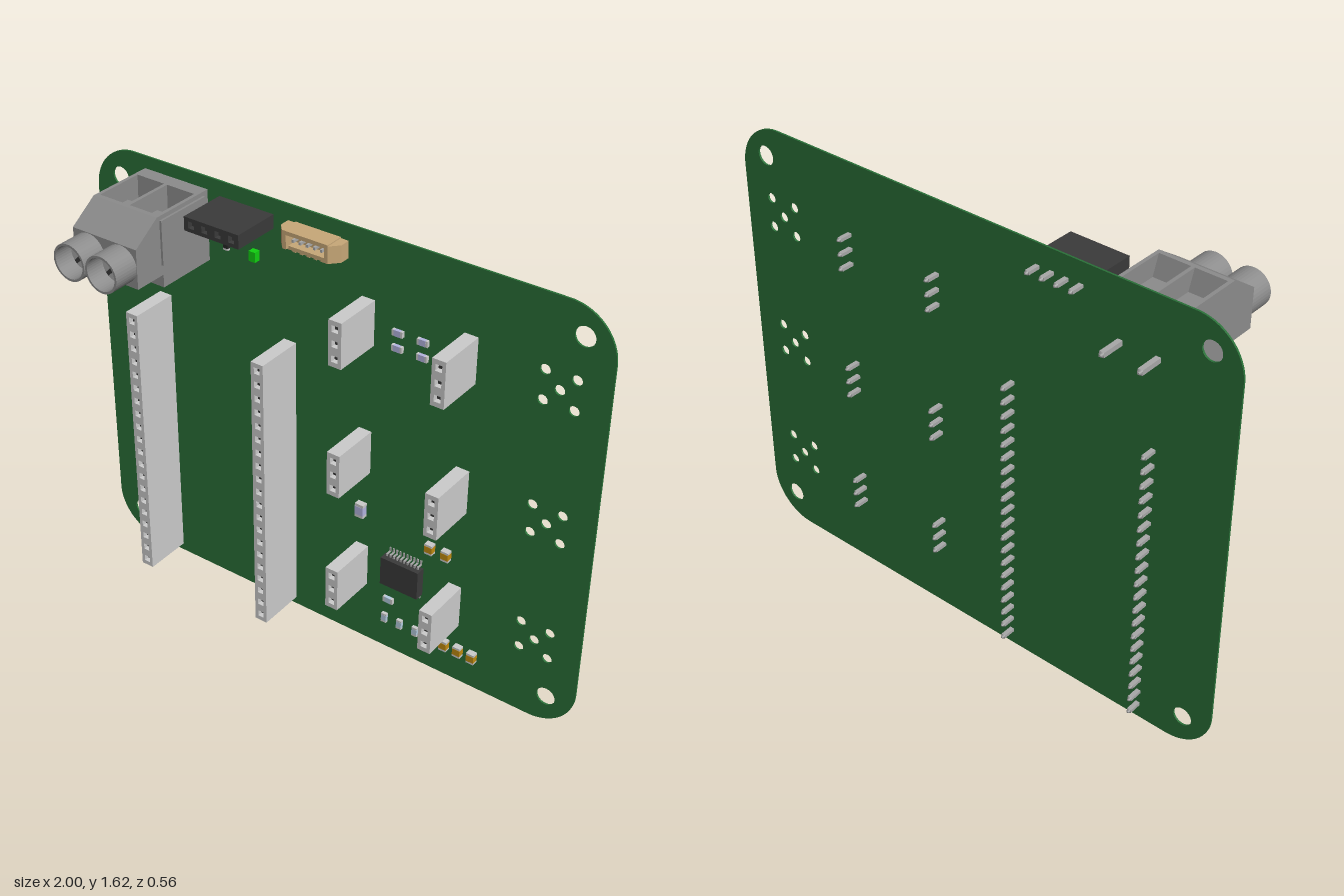
import * as THREE from 'three';

const FACE = -0.178;   // front surface of the board
const BACK = -0.185;   // rear surface of the board
const PITCH = 0.0543;  // pin spacing of the headers
const FRONT = 0.004;   // front of the sockets

const paint = (color) => new THREE.MeshStandardMaterial({ color });
const mats = {
  board: paint(0x2a7038), grey: paint(0xcccccc), housing: paint(0x8c8c8c), dark: paint(0x3a3a3a),
  black: paint(0x262626), tan: paint(0xc8a878), gold: paint(0xc08a10), lilac: paint(0xb4b4e0),
  pale: paint(0xb4cce0), green: paint(0x10d010), metal: paint(0xa8a8a8),
};

function add(parent, name, geometry, mat) {
  const mesh = new THREE.Mesh(geometry, mats[mat]);
  mesh.name = name;
  parent.add(mesh);
  return mesh;
}

// Box given by its limits along each axis
function box(parent, name, mat, x0, x1, y0, y1, z0, z1) {
  const g = new THREE.BoxGeometry(x1 - x0, y1 - y0, z1 - z0);
  g.translate((x0 + x1) / 2, (y0 + y1) / 2, (z0 + z1) / 2);
  return add(parent, name, g, mat);
}

function group(parent, name) {
  const g = new THREE.Group();
  g.name = name;
  parent.add(g);
  return g;
}

const polygon = (pts) => new THREE.Shape(pts.map(([x, y]) => new THREE.Vector2(x, y)));
const rect = (x0, x1, y0, y1) => polygon([[x0, y0], [x1, y0], [x1, y1], [x0, y1]]);
const circle = (x, y, r) => new THREE.Path().absarc(x, y, r, 0, Math.PI * 2, true);

function extrude(shape, depth, curveSegments = 12) {
  return new THREE.ExtrudeGeometry(shape, { depth, bevelEnabled: false, curveSegments });
}

// Rounded board with mounting holes and three five-hole clusters
function buildBoard(root) {
  const r = 0.17, h = 1.62, s = new THREE.Shape();
  s.absarc(1 - r, r, r, -Math.PI / 2, 0);
  s.absarc(1 - r, h - r, r, 0, Math.PI / 2);
  s.absarc(-1 + r, h - r, r, Math.PI / 2, Math.PI);
  s.absarc(-1 + r, r, r, Math.PI, Math.PI * 1.5);
  s.closePath();
  for (const x of [-0.892, 0.892]) for (const y of [0.111, 1.514]) s.holes.push(circle(x, y, 0.035));
  for (const y of [0.328, 0.807, 1.306]) {
    s.holes.push(circle(0.828, y, 0.018));
    for (const dx of [-0.054, 0.054]) for (const dy of [-0.054, 0.054])
      s.holes.push(circle(0.828 + dx, y + dy, 0.018));
  }
  const g = extrude(s, FACE - BACK);
  g.translate(0, 0, BACK);
  add(root, 'circuitBoard', g, 'board');
}

// Socket strip with square openings in front and pins through the board
function buildHeader(root, name, x, y, count, horizontal, mat) {
  const strip = group(root, name);
  const half = 0.025, len = count * PITCH / 2 + 0.002, o = 0.012, split = -0.07;
  const [w, h] = horizontal ? [len, half] : [half, len];
  const s = rect(-w, w, -h, h);
  const pinAt = (i) => (i - (count - 1) / 2) * PITCH;
  for (let i = 0; i < count; i++) {
    const [px, py] = horizontal ? [pinAt(i), 0] : [0, pinAt(i)];
    s.holes.push(rect(px - o, px + o, py - o, py + o));
    box(strip, 'pin', 'metal', px - 0.008, px + 0.008, py - 0.006, py + 0.006, -0.232, BACK);
    const tip = new THREE.CylinderGeometry(0.004, 0.0095, 0.01, 4, 1).rotateY(Math.PI / 4).rotateX(-Math.PI / 2);
    add(strip, 'pinTip', tip, 'metal').position.set(px, py, -0.237);
    box(strip, 'contact', 'dark', px - o, px + o, py - o, py + o, split, split + 0.055);
  }
  const g = extrude(s, FRONT - split);
  g.translate(0, 0, split);
  add(strip, 'socketFront', g, mat);
  box(strip, 'socketBase', mat, -w, w, -h, h, FACE, split);
  strip.position.set(x, y, 0);
}

// Two-way screw terminal, built as slices of a side profile
function buildTerminal(root) {
  const t = group(root, 'screwTerminal');
  const x0 = -0.781, x1 = -0.512, wall = 0.013, mid = (x0 + x1) / 2;
  const lower = [[0.183, 1.504], [0.183, 1.362], [0.058, 1.362], [0.058, 1.315], [FACE, 1.315], [FACE, 1.575]];
  const full = [[0.076, 1.575], ...lower];
  const pocketed = [[0.076, 1.575], ...lower, [-0.125, 1.575], [-0.12, 1.44], [-0.07, 1.44],
    [-0.07, 1.505], [0.035, 1.505], [0.06, 1.575]];
  const slice = (name, profile, a, b) => {
    const g = extrude(polygon(profile.map(([z, y]) => [-z, y])), b - a);
    g.rotateY(Math.PI / 2).translate(a, 0, 0);
    add(t, name, g, 'housing');
  };
  slice('sideWall', full, x0, x0 + wall);
  slice('pocketBody', pocketed, x0 + wall, mid - wall / 2);
  slice('middleWall', full, mid - wall / 2, mid + wall / 2);
  slice('pocketBody', pocketed, mid + wall / 2, x1 - wall);
  slice('sideWall', full, x1 - wall, x1);
  box(t, 'sideRib', 'housing', x1, x1 + 0.008, 1.40, 1.56, -0.155, 0.065);

  for (const x of [-0.715, -0.579]) {
    // Hollow screw guide with a slotted screw inside
    const ring = new THREE.Shape().absarc(x, 1.436, 0.066, 0, Math.PI * 2);
    ring.holes.push(circle(x, 1.436, 0.058));
    add(t, 'screwGuide', extrude(ring, 0.097, 20).translate(0, 0, 0.183), 'housing');
    const head = new THREE.CylinderGeometry(0.055, 0.055, 0.03, 32).rotateX(Math.PI / 2);
    add(t, 'screwHead', head, 'metal').position.set(x, 1.436, 0.195);
    const slot = add(t, 'screwSlot', new THREE.BoxGeometry(0.104, 0.014, 0.002), 'dark');
    slot.position.set(x, 1.436, 0.211);
    slot.rotation.z = Math.PI / 4;
    box(t, 'solderPin', 'metal', x - 0.009, x + 0.009, 1.401, 1.419, -0.27, BACK);
    const tip = new THREE.CylinderGeometry(0.005, 0.0127, 0.01, 4).rotateY(Math.PI / 4).rotateX(-Math.PI / 2);
    add(t, 'solderPinTip', tip, 'metal').position.set(x, 1.41, -0.275);
  }
}

// Small shrouded cable connector with a chamfered front
function buildConnector(root) {
  const c = group(root, 'cableConnector');
  const plate = (name, outline, y0, y1) => {
    const g = extrude(polygon(outline.map(([x, z]) => [x, -z])), y1 - y0);
    add(c, name, g.rotateX(-Math.PI / 2).translate(0, y0, 0), 'tan');
  };
  const outer = [[-0.118, FACE], [-0.118, -0.145], [-0.09, -0.107], [0.09, -0.107], [0.09, -0.145], [0.118, FACE]];
  outer[4] = [0.118, -0.145];
  outer[3] = [0.09, -0.107];
  plate('topWall', [[-0.088, FACE], [-0.088, -0.107], [0.088, -0.107], [0.088, FACE]], 1.553, 1.567);
  plate('bottomWall', [[-0.088, FACE], [-0.088, -0.12], [0.088, -0.12], [0.088, FACE]], 1.497, 1.51);
  box(c, 'rearWall', 'tan', -0.088, 0.088, 1.51, 1.553, FACE, -0.155);
  for (const s of [-1, 1]) {
    const end = [[s * 0.074, FACE], [s * 0.118, FACE], [s * 0.118, -0.14], [s * 0.088, -0.107], [s * 0.074, -0.107]];
    plate('endWall', end, 1.502, 1.563);
  }
  for (let i = -2; i <= 2; i++) {
    const x = i * 0.0275;
    box(c, 'contactPin', 'metal', x - 0.004, x + 0.004, 1.527, 1.537, -0.155, -0.118);
    box(c, 'solderTail', 'metal', x - 0.004, x + 0.004, 1.468, 1.5, FACE, -0.17);
    box(c, 'frontRib', 'tan', x - 0.006, x + 0.006, 1.49, 1.5, -0.17, -0.125);
  }
  c.position.x = -0.064;
}

// Chip with ten leads along the top and bottom
function buildChip(root) {
  const chip = group(root, 'chip');
  box(chip, 'chipBody', 'dark', 0.24, 0.392, 0.312, 0.425, -0.172, -0.136);
  for (let i = 0; i < 10; i++) {
    const x = 0.316 + (i - 4.5) * 0.014;
    for (const s of [-1, 1]) {
      const y = (d) => 0.3685 + s * d;
      const span = (a, b) => [Math.min(y(a), y(b)), Math.max(y(a), y(b))];
      box(chip, 'leadShoulder', 'metal', x - 0.003, x + 0.003, ...span(0.056, 0.066), -0.158, -0.154);
      box(chip, 'leadDrop', 'metal', x - 0.003, x + 0.003, ...span(0.063, 0.067), FACE, -0.154);
      box(chip, 'leadFoot', 'metal', x - 0.003, x + 0.003, ...span(0.066, 0.082), FACE, -0.174);
    }
  }
}

// Surface part: a coloured middle between two metal end caps
function buildSmallPart(root, name, mat, x, y, w, h, d) {
  const p = group(root, name);
  const tall = h > w, cap = Math.max(w, h) * 0.2;
  const [bw, bh] = tall ? [w, h - 2 * cap] : [w - 2 * cap, h];
  box(p, 'body', mat, -bw / 2, bw / 2, -bh / 2, bh / 2, 0, d);
  for (const s of [-1, 1]) {
    const g = tall ? new THREE.BoxGeometry(w, cap, d * 0.96) : new THREE.BoxGeometry(cap, h, d * 0.96);
    const m = add(p, 'endCap', g, 'grey');
    m.position.set(tall ? 0 : s * (w - cap) / 2, tall ? s * (h - cap) / 2 : 0, d * 0.48);
  }
  p.position.set(x, y, FACE);
}

export function createModel() {
  const root = new THREE.Group();
  root.name = 'circuitBoardAssembly';
  buildBoard(root);
  for (const x of [-0.717, -0.176]) buildHeader(root, 'longSocket', x, 0.574, 20, false, 'grey');
  for (const x of [0.134, 0.515]) for (const y of [0.326, 0.805, 1.303])
    buildHeader(root, 'shortSocket', x, y, 3, false, 'grey');
  buildHeader(root, 'blackSocket', -0.351, 1.541, 4, true, 'dark');
  buildTerminal(root);
  buildConnector(root);
  buildChip(root);

  for (const x of [0.253, 0.347]) for (const y of [1.303, 1.247])
    buildSmallPart(root, 'resistor', 'lilac', x, y, 0.04, 0.022, 0.013);
  buildSmallPart(root, 'resistor', 'pale', 0.255, 0.221, 0.04, 0.022, 0.013);
  for (const x of [0.241, 0.305, 0.37]) buildSmallPart(root, 'resistor', 'pale', x, 0.135, 0.021, 0.038, 0.013);
  buildSmallPart(root, 'largeResistor', 'lilac', 0.132, 0.563, 0.034, 0.055, 0.024);
  for (const x of [0.415, 0.479]) buildSmallPart(root, 'capacitor', 'gold', x, 0.526, 0.03, 0.04, 0.024);
  for (const x of [0.436, 0.493, 0.549, 0.605]) buildSmallPart(root, 'capacitor', 'gold', x, 0.141, 0.03, 0.042, 0.024);
  buildSmallPart(root, 'darkResistor', 'black', -0.433, 1.399, 0.02, 0.036, 0.013);
  box(root, 'indicatorLight', 'green', -0.326, -0.3, 1.381, 1.418, FACE, FACE + 0.024);
  return root;
}
